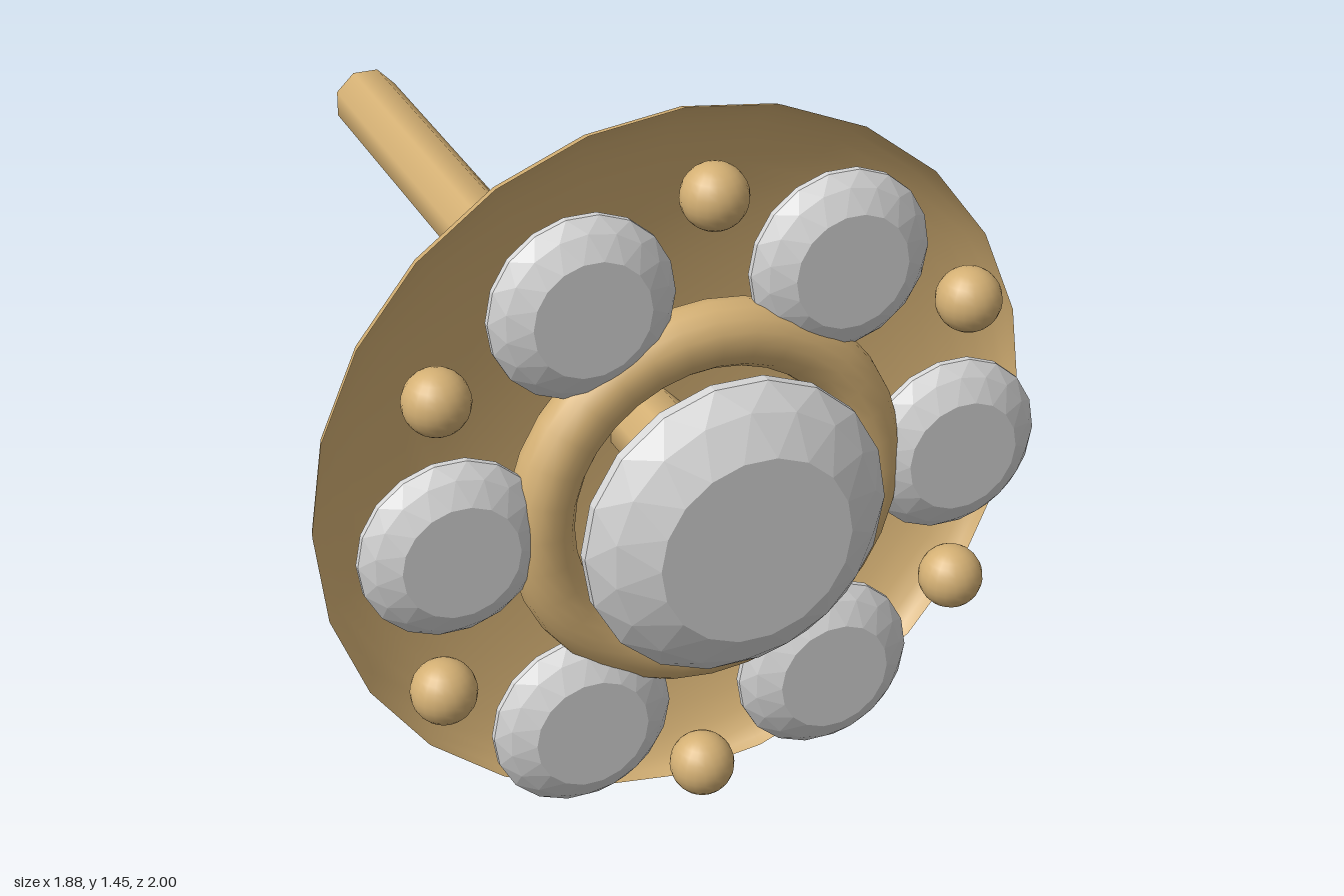
import * as THREE from 'three';

const gold = new THREE.MeshStandardMaterial({ color: 0xd4b074, side: THREE.DoubleSide });
gold.name = 'gold';
const crystal = new THREE.MeshStandardMaterial({ color: 0xd4d4d4 });
crystal.name = 'crystal';

// Faceted round stone of radius 1 facing +z: rings of [radius, z, turn in steps]
function gemGeometry(sides = 18) {
  const rings = [
    [0.03, -0.84, 0], [0.5, -0.42, 0.5], [1, -0.035, 0], [1, 0.035, 0],
    [0.87, 0.18, 0.5], [0.63, 0.33, 0],
  ];
  const at = (i, j) => {
    const [r, z, turn] = rings[i];
    const a = ((j + turn) / sides) * Math.PI * 2;
    return [r * Math.cos(a), r * Math.sin(a), z];
  };
  const last = rings.length - 1;
  const pos = [];
  for (let j = 0; j < sides; j++) {
    for (let i = 0; i < last; i++) {
      // staggered rings interlock into triangular facets
      const shift = rings[i][2] > rings[i + 1][2] ? 1 : 0;
      const a = at(i, j), b = at(i, j + 1);
      const c = at(i + 1, j + shift), d = at(i + 1, j + 1 + shift);
      pos.push(...a, ...b, ...c, ...b, ...d, ...c);
    }
    // culet and table
    pos.push(0, 0, rings[0][1], ...at(0, j + 1), ...at(0, j));
    pos.push(0, 0, rings[last][1], ...at(last, j), ...at(last, j + 1));
  }
  const geo = new THREE.BufferGeometry();
  geo.setAttribute('position', new THREE.Float32BufferAttribute(pos, 3));
  geo.computeVertexNormals();
  return geo;
}

export function createModel() {
  const model = new THREE.Group();
  model.name = 'studEarring';

  // Everything is built around a local z axis, then turned and placed
  const stud = new THREE.Group();
  stud.name = 'stud';
  stud.position.set(0.345, 0.727, 0.45);
  stud.rotation.y = 0.722;
  model.add(stud);

  const add = (name, geo, mat, x = 0, y = 0, z = 0) => {
    const mesh = new THREE.Mesh(geo, mat);
    mesh.name = name;
    mesh.position.set(x, y, z);
    stud.add(mesh);
    return mesh;
  };

  // Shallow hollow dish, open to the front
  const profile = [];
  for (let i = 0; i <= 12; i++) {
    const t = (i / 12) * Math.PI / 2;
    profile.push(new THREE.Vector2(0.7225 * Math.sin(t), -0.167 * Math.cos(t)));
  }
  add('dish', new THREE.LatheGeometry(profile, 24).rotateX(Math.PI / 2), gold);

  // Octagonal post
  const back = -1.864, front = 0.06;
  const post = new THREE.CylinderGeometry(0.078, 0.078, front - back, 8);
  post.rotateY(Math.PI / 8).rotateX(Math.PI / 2);
  add('post', post, gold, 0, 0, (front + back) / 2);

  // Ring around the centre stone
  add('ring', new THREE.TorusGeometry(0.33, 0.063, 16, 32), gold, 0, 0, 0.12);

  // Stones and beads
  const gem = gemGeometry();
  add('centreStone', gem, crystal, 0, 0, 0.247).scale.setScalar(0.298);
  const bead = new THREE.SphereGeometry(0.063, 20, 14);
  for (let i = 0; i < 6; i++) {
    const a = (i * Math.PI) / 3, b = a + Math.PI / 6;
    const stone = add('outerStone', gem, crystal, 0.502 * Math.cos(a), 0.502 * Math.sin(a), 0.125);
    stone.scale.setScalar(0.178);
    add('bead', bead, gold, 0.605 * Math.cos(b), 0.605 * Math.sin(b), 0.127);
  }
  return model;
}
